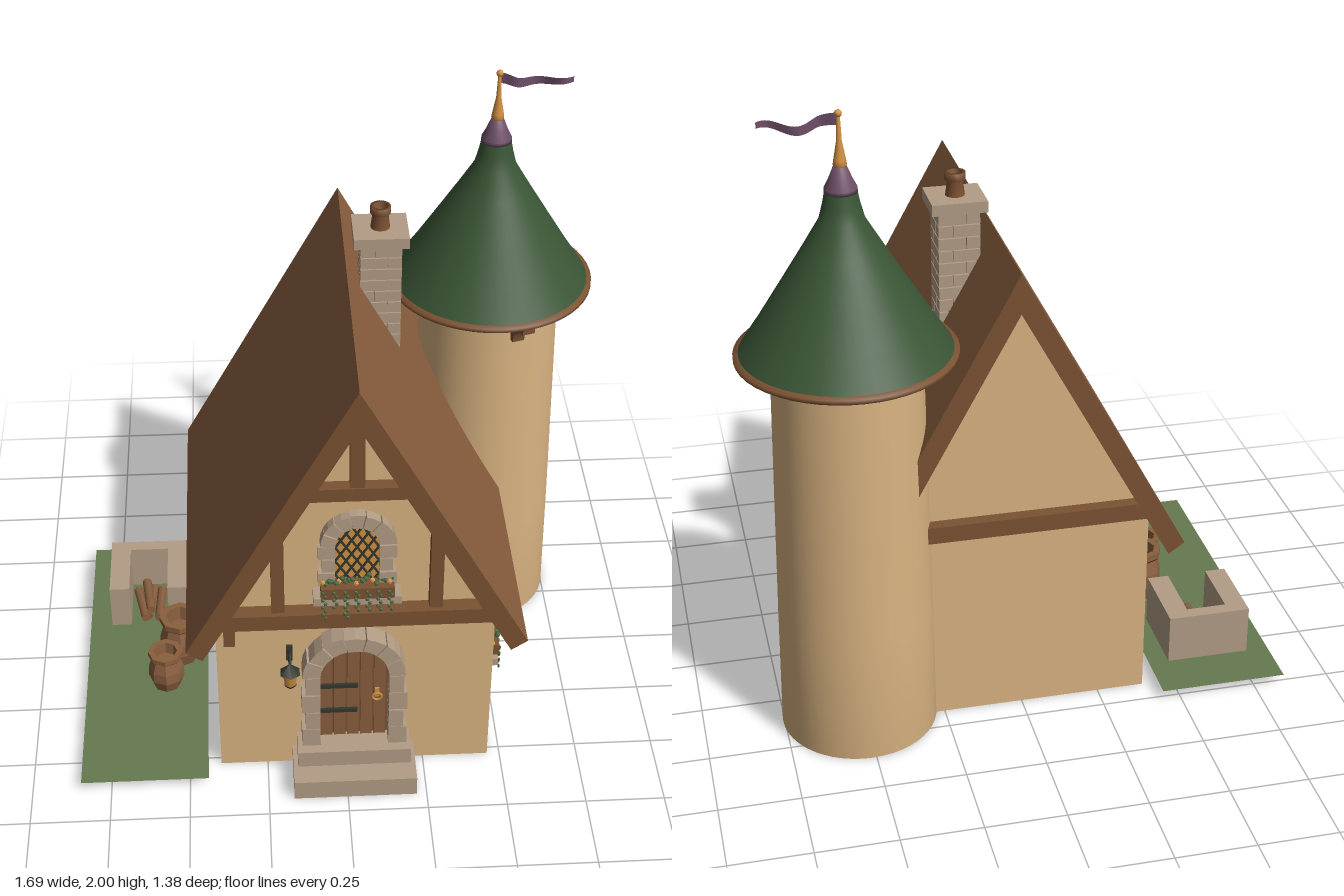
import * as THREE from 'three';

const paint = (name, color, side = THREE.FrontSide) => {
  const m = new THREE.MeshStandardMaterial({ color, side });
  m.name = name;
  return m;
};

export function createModel() {
  const plaster = paint('plaster', 0xd9b381, THREE.DoubleSide);
  const shingle = paint('brown roof', 0x8a5f3f);
  const timber = paint('timber', 0x7c5233);
  const stone = paint('stone', 0xb39d86);
  const green = paint('tower roof green', 0x3a5535);
  const grass = paint('grass', 0x657a50, THREE.DoubleSide);
  const purple = paint('purple', 0x6e4f68, THREE.DoubleSide);
  const gold = paint('amber', 0xd39242);
  const iron = paint('dark iron', 0x33382f);
  const leaf = paint('leaf green', 0x46663f);

  const model = new THREE.Group();
  model.name = 'cottage';
  let seed = 7;
  const rnd = () => (seed = (seed * 16807) % 2147483647) / 2147483647;

  const add = (name, geo, mat, parent = model, x = 0, y = 0, z = 0) => {
    const mesh = new THREE.Mesh(geo, mat);
    mesh.name = name;
    mesh.position.set(x, y, z);
    parent.add(mesh);
    return mesh;
  };
  // Box given by its min and max on each axis
  const box = (name, mat, [x0, x1], [y0, y1], [z0, z1], parent = model) =>
    add(name, new THREE.BoxGeometry(x1 - x0, y1 - y0, z1 - z0), mat, parent, (x0 + x1) / 2, (y0 + y1) / 2, (z0 + z1) / 2);
  const group = (name, x, y, z, parent = model) => {
    const g = new THREE.Group();
    g.name = name;
    g.position.set(x, y, z);
    parent.add(g);
    return g;
  };
  const extrude = (pts, depth) => new THREE.ExtrudeGeometry(
    new THREE.Shape(pts.map(p => new THREE.Vector2(...p))), { depth, bevelEnabled: false });
  const lathe = (pts, n) => new THREE.LatheGeometry(pts.map(p => new THREE.Vector2(...p)), n);
  const archShape = (r, spring) => {
    const s = new THREE.Shape();
    s.moveTo(-r, 0); s.lineTo(r, 0); s.lineTo(r, spring);
    s.absarc(0, spring, r, 0, Math.PI, false);
    s.closePath();
    return s;
  };

  // House walls, gable and roof
  const CX = 0.03, slope = 0.95 / 0.52;
  add('walls', extrude([[-0.43, 0], [0.43, 0], [0.43, 0.61], [0, 1.4], [-0.43, 0.61]], 0.945), plaster, model, CX, 0, -0.42);
  add('frontGable', extrude([[-0.41, 0.65], [0.41, 0.65], [0, 1.4]], 0.03), plaster, model, CX, 0, 0.525);
  add('houseRoof', extrude([[0, 1.525], [-0.52, 0.575], [-0.47, 0.54], [0, 1.4], [0.47, 0.54], [0.52, 0.575]], 1.125),
    [timber, shingle], model, CX, 0, -0.508);

  // Gable timbers
  const beam = (y0, y1, z0, z1, name) => {
    const w = y => (1.41 - y) / slope;
    add(name, extrude([[-w(y0), y0], [w(y0), y0], [w(y1), y1], [-w(y1), y1]], z1 - z0), timber, model, CX, 0, z0);
  };
  beam(0.645, 0.7, 0.52, 0.605, 'lowerBeam');
  beam(1.125, 1.17, 0.54, 0.595, 'collarBeam');
  beam(0.645, 0.7, -0.46, -0.4, 'backBeam');
  box('kingPost', timber, [0.007, 0.05], [1.16, 1.4], [0.54, 0.59]);
  for (const s of [-1, 1]) {
    const x = CX + s * 0.238;
    box('gablePost', timber, [x - 0.02, x + 0.02], [0.69, 0.985], [0.54, 0.59]);
  }
  box('jettyBracket', timber, [-0.375, -0.34], [0.57, 0.65], [0.52, 0.59]);

  // Ring of arch stones with jambs on both sides
  const stoneArch = (r, R, spring, depth, jambs, parent) => {
    const n = 7;
    for (let i = 0; i < n; i++) {
      const a = (i + 0.03) * Math.PI / n, b = (i + 0.97) * Math.PI / n, o = R - rnd() * 0.008;
      const pts = [[r, a], [o, a], [o, (a + b) / 2], [o, b], [r, b], [r, (a + b) / 2]]
        .map(([q, t]) => [q * Math.cos(t), q * Math.sin(t)]);
      add('archStone', extrude(pts, depth - rnd() * 0.006), stone, parent, 0, spring, 0);
    }
    for (const s of [-1, 1]) for (let i = 0; i < jambs; i++) {
      const h = spring / jambs, o = R - (i % 2) * 0.012;
      box('jambStone', stone, s > 0 ? [r, o] : [-o, -r], [i * h + 0.002, (i + 1) * h - 0.002], [0, depth - rnd() * 0.006], parent);
    }
  };

  // Leaded window with sill, planter and trailing vines
  const windowAt = (name, x, y, z, turn) => {
    const g = group(name, x, y, z), r = 0.066, sp = 0.15;
    g.rotation.y = turn;
    add('glass', new THREE.ExtrudeGeometry(archShape(r, sp), { depth: 0.008, bevelEnabled: false }), gold, g);
    const inside = (px, py) => Math.abs(px) < r && py > 0 && (py < sp || px * px + (py - sp) ** 2 < r * r);
    const k = 1.6, len = Math.hypot(1, k);
    for (const s of [-1, 1]) for (let c = -0.08; c < 0.32; c += 0.052) {
      const hit = [];
      for (let px = -r; px <= r; px += 0.002) if (inside(px, c + s * k * px)) hit.push(px);
      if (hit.length < 3) continue;
      const a = hit[0], b = hit[hit.length - 1], m = (a + b) / 2;
      add('leadBar', new THREE.BoxGeometry((b - a) * len, 0.006, 0.005), iron, g, m, c + s * k * m, 0.01).rotation.z = s * Math.atan(k);
    }
    stoneArch(r, 0.117, sp, 0.036, 3, g);
    box('sill', stone, [-0.132, 0.132], [-0.06, -0.032], [0, 0.055], g);
    box('planter', timber, [-0.11, 0.11], [-0.032, 0.008], [0.005, 0.06], g);
    const bud = new THREE.IcosahedronGeometry(0.009, 0);
    for (let i = 0; i < 22; i++)
      add(i % 5 ? 'leaf' : 'flower', bud, i % 5 ? leaf : gold, g, -0.105 + i * 0.01, 0.01 + rnd() * 0.022, 0.02 + rnd() * 0.04);
    for (let i = 0; i < 7; i++) {
      const drop = 3 + Math.floor(rnd() * 6);
      for (let j = 0; j < drop; j++) {
        const l = add('vineLeaf', bud, leaf, g, -0.1 + i * 0.033 + (j % 2 - 0.5) * 0.008, -0.005 - j * 0.014, 0.062);
        l.scale.set(0.7, 0.8, 0.5);
      }
    }
  };
  windowAt('gableWindow', CX, 0.8, 0.555, 0);
  windowAt('sideWindow', 0.46, 0.235, 0.17, Math.PI / 2);

  // Door with planks, straps, handle and steps
  const door = group('door', 0.025, 0.13, 0.525);
  add('doorBack', new THREE.ExtrudeGeometry(archShape(0.107, 0.295), { depth: 0.008, bevelEnabled: false }), timber, door);
  for (let i = 0; i < 5; i++) {
    const x0 = -0.105 + i * 0.042, x1 = x0 + 0.037;
    const top = x => 0.295 + Math.sqrt(Math.max(0, 0.107 ** 2 - x * x));
    add('doorPlank', extrude([[x0, 0], [x1, 0], [x1, top(x1)], [(x0 + x1) / 2, top((x0 + x1) / 2)], [x0, top(x0)]], 0.018), shingle, door);
  }
  stoneArch(0.107, 0.165, 0.295, 0.07, 4, door);
  for (const y of [0.105, 0.21]) box('hingeStrap', iron, [-0.105, 0.012], [y, y + 0.015], [0.015, 0.026], door);
  add('doorHandle', new THREE.TorusGeometry(0.014, 0.004, 6, 14), gold, door, 0.073, 0.17, 0.026);
  add('handlePlate', new THREE.BoxGeometry(0.014, 0.035, 0.008), gold, door, 0.073, 0.185, 0.02);
  box('lowerStep', stone, [-0.17, 0.218], [0, 0.07], [0.5, 0.69]);
  box('upperStep', stone, [-0.155, 0.203], [0.07, 0.13], [0.5, 0.62]);

  // Wall lantern
  const lamp = group('lantern', -0.175, 0, 0.595);
  const hook = new THREE.CatmullRomCurve3([[0, 0.47, -0.07], [0, 0.5, -0.05], [0, 0.515, -0.02], [0, 0.49, 0]].map(p => new THREE.Vector3(...p)));
  add('lanternHook', new THREE.TubeGeometry(hook, 12, 0.005, 6), iron, lamp);
  box('lanternPlate', iron, [-0.01, 0.01], [0.45, 0.51], [-0.07, -0.062], lamp);
  add('lanternCap', new THREE.ConeGeometry(0.034, 0.035, 6), iron, lamp, 0, 0.477, 0);
  add('lanternGlass', new THREE.CylinderGeometry(0.026, 0.018, 0.05, 6), gold, lamp, 0, 0.436, 0);
  add('lanternBase', new THREE.CylinderGeometry(0.021, 0.012, 0.012, 6), iron, lamp, 0, 0.406, 0);

  // Chimney of staggered blocks
  const chim = group('chimney', 0.137, 0, -0.104);
  box('chimneyCore', stone, [-0.055, 0.055], [1.15, 1.59], [-0.053, 0.053], chim);
  for (let i = 0; i < 11; i++) {
    const y = [1.152 + i * 0.0395, 1.188 + i * 0.0395], m = i % 2 ? 0.02 : -0.02;
    for (const xs of [[-0.063, m - 0.002], [m + 0.002, 0.063]])
      for (const zs of [[-0.061, -m - 0.002], [-m + 0.002, 0.061]]) box('chimneyBlock', stone, xs, y, zs, chim);
  }
  box('chimneyCap', stone, [-0.084, 0.084], [1.585, 1.62], [-0.076, 0.076], chim);
  add('chimneyPot', lathe([[0.03, 1.62], [0.024, 1.665], [0.032, 1.67], [0.032, 1.692], [0.02, 1.692], [0.018, 1.64], [0, 1.64]], 12), timber, chim);

  // Round tower, hollow at the bottom
  const tower = group('tower', 0.513, 0, -0.363);
  add('towerWall', lathe([[0.205, 1.26], [0.212, 0], [0.243, 0], [0.238, 0.4], [0.222, 1.27]], 48), plaster, tower);
  add('towerEave', lathe([[0, 1.258], [0.318, 1.258], [0.327, 1.264], [0.327, 1.276], [0.31, 1.282]], 48), timber, tower);
  add('towerRoof', lathe([[0.314, 1.278], [0.255, 1.368], [0.185, 1.482], [0.115, 1.597], [0.066, 1.68], [0.054, 1.725], [0.044, 1.775]], 48), green, tower);
  add('roofCap', lathe([[0, 1.762], [0.048, 1.762], [0.047, 1.774], [0.034, 1.8], [0.02, 1.835], [0, 1.84]], 24), purple, tower);
  add('finial', lathe([[0.013, 1.83], [0.02, 1.842], [0.018, 1.855], [0.008, 1.91], [0.005, 1.985], [0, 1.986]], 16), gold, tower);
  add('finialBall', new THREE.SphereGeometry(0.011, 12, 8), gold, tower, 0, 1.989, 0);

  // Waving pennant
  const flag = new THREE.PlaneGeometry(0.225, 1, 24, 2), fp = flag.attributes.position;
  for (let i = 0; i < fp.count; i++) {
    const t = fp.getX(i) / 0.225 + 0.5, v = fp.getY(i);
    fp.setXYZ(i, t * 0.225, 1.965 + 0.009 * Math.cos(t * 6.5) - 0.006 * t + v * (0.036 - 0.018 * t), 0.02 * Math.sin(t * 9) * Math.min(1, t * 4));
  }
  flag.computeVertexNormals();
  add('pennant', flag, purple, tower);

  // Curved bracket beneath the tower eave
  const s = new THREE.Shape();
  s.moveTo(0, 1.26); s.lineTo(0.095, 1.26); s.lineTo(0.095, 1.235);
  s.quadraticCurveTo(0.03, 1.23, 0.025, 1.165);
  s.lineTo(0, 1.165); s.closePath();
  const bracket = group('eaveBracket', 0, 0, 0, tower);
  add('bracketArm', new THREE.ExtrudeGeometry(s, { depth: 0.04, bevelEnabled: false }), timber, bracket, 0.215, 0, -0.02);
  bracket.rotation.y = -1.27;

  // Grass, log store and logs
  const lawn = add('grass', new THREE.PlaneGeometry(0.405, 1.14), grass, model, -0.643, 0.034, 0.05);
  lawn.rotation.x = -Math.PI / 2;
  const H = [0.035, 0.197];
  box('storeLeft', stone, [-0.772, -0.705], H, [-0.365, -0.115]);
  box('storeRight', stone, [-0.575, -0.505], H, [-0.365, -0.115]);
  box('storeBack', stone, [-0.705, -0.575], H, [-0.365, -0.322]);
  for (const [x, y, z, turn] of [[-0.67, 0.052, -0.2, -0.2], [-0.638, 0.052, -0.21, 0.12], [-0.605, 0.052, -0.2, 0.05], [-0.645, 0.08, -0.21, -0.12]]) {
    const log = add('log', new THREE.CylinderGeometry(0.016, 0.016, 0.15, 7), shingle, model, x, y, z);
    log.rotation.set(Math.PI / 2, 0, turn);
  }

  // Barrels with recessed tops
  for (const [x, z, r, h] of [[-0.53, 0.05, 0.074, 0.18], [-0.578, 0.18, 0.063, 0.145]]) {
    const geo = lathe([[0, 0], [0.72, 0], [0.95, 0.3], [0.92, 0.55], [0.74, 0.8], [0.92, 0.88], [0.92, 1], [0.62, 1], [0.55, 0.72], [0, 0.72]], 8);
    geo.scale(r, h, r);
    const flat = geo.toNonIndexed();
    flat.computeVertexNormals();
    add('barrel', flat, shingle, model, x, 0.035, z);
  }
  return model;
}
